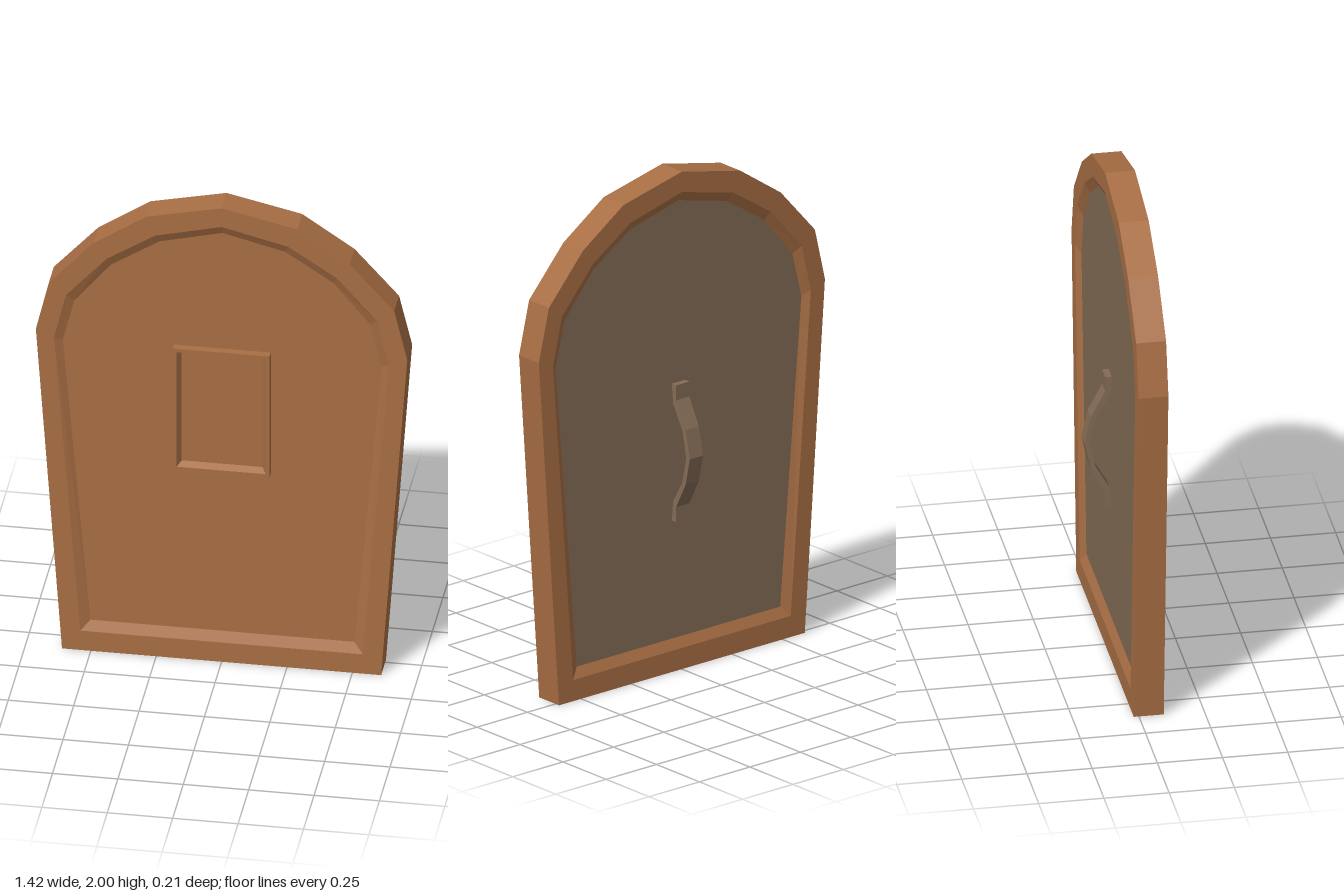
import * as THREE from 'three';

const wood = new THREE.MeshStandardMaterial({ color: 0xa86e44 });
wood.name = 'warm brown wood';
const lining = new THREE.MeshStandardMaterial({ color: 0x836b55 });
lining.name = 'grey brown lining';

// Right half of an outline (bottom to top), mirrored into a full loop
const mirror = (half) => [
  ...half,
  ...half.filter(([x]) => x > 0).reverse().map(([x, y]) => [-x, y]),
];
const rect = (w, y0, y1) => mirror([[w, y0], [w, y1]]);

// Faceted surface through successive rings [outline, z]
function loft(rings) {
  const pos = [];
  for (let r = 0; r < rings.length - 1; r++) {
    const [a, za] = rings[r];
    const [b, zb] = rings[r + 1];
    for (let i = 0; i < a.length; i++) {
      const j = (i + 1) % a.length;
      const p = [...a[i], za], q = [...a[j], za], s = [...b[j], zb], t = [...b[i], zb];
      pos.push(...p, ...q, ...s, ...p, ...s, ...t);
    }
  }
  const g = new THREE.BufferGeometry();
  g.setAttribute('position', new THREE.Float32BufferAttribute(pos, 3));
  g.computeVertexNormals();
  return g;
}

const toShape = (pts) => new THREE.Shape(pts.map(([x, y]) => new THREE.Vector2(x, y)));

export function createModel() {
  const group = new THREE.Group();
  const add = (name, geometry, material) => {
    const mesh = new THREE.Mesh(geometry, material);
    mesh.name = name;
    group.add(mesh);
    return mesh;
  };

  // Shield outlines: outer edge, rim's inner edge, foot of the bevel
  const edge = mirror([[0.61, 0], [0.71, 1.4], [0.66, 1.61], [0.49, 1.8], [0.29, 1.935], [0, 2]]);
  const rim = mirror([[0.54, 0.085], [0.64, 1.37], [0.595, 1.56], [0.44, 1.735], [0.255, 1.855], [0, 1.918]]);
  const foot = mirror([[0.505, 0.125], [0.61, 1.35], [0.565, 1.53], [0.425, 1.7], [0.24, 1.82], [0, 1.88]]);

  // Rim with bevels on both faces
  add('rim', loft([[foot, 0], [rim, -0.02], [edge, -0.02], [edge, 0.095], [rim, 0.095], [foot, 0.075]]), wood);

  // Recessed panels
  add('frontPanel', new THREE.ShapeGeometry(toShape(foot)), wood).position.z = 0.075;
  const back = add('backPanel', new THREE.ShapeGeometry(toShape(foot)), lining);
  back.rotation.y = Math.PI;

  // Small raised frame on the front
  const outer = rect(0.185, 0.835, 1.37);
  const lip = rect(0.17, 0.85, 1.355);
  const inner = rect(0.155, 0.865, 1.34);
  add('plaqueFrame', loft([[outer, 0.075], [outer, 0.105], [lip, 0.105], [inner, 0.08]]), wood);
  add('plaquePanel', new THREE.ShapeGeometry(toShape(inner)), wood).position.z = 0.08;

  // Bent strap handle on the back: profile in (z, y), extruded across x
  const strapBack = [[-0.025, 0.6], [-0.025, 0.66], [-0.08, 0.765], [-0.105, 0.875], [-0.08, 0.985], [-0.025, 1.09], [-0.025, 1.15]];
  const strapFront = [[0, 0.6], [-0.008, 0.68], [-0.062, 0.773], [-0.084, 0.875], [-0.062, 0.977], [-0.008, 1.07], [0, 1.15]];
  const strap = new THREE.ExtrudeGeometry(toShape([...strapBack, ...strapFront.reverse()]), { depth: 0.066, bevelEnabled: false });
  strap.translate(0, 0, -0.033);
  strap.rotateY(-Math.PI / 2);
  add('handle', strap, lining);

  return group;
}
